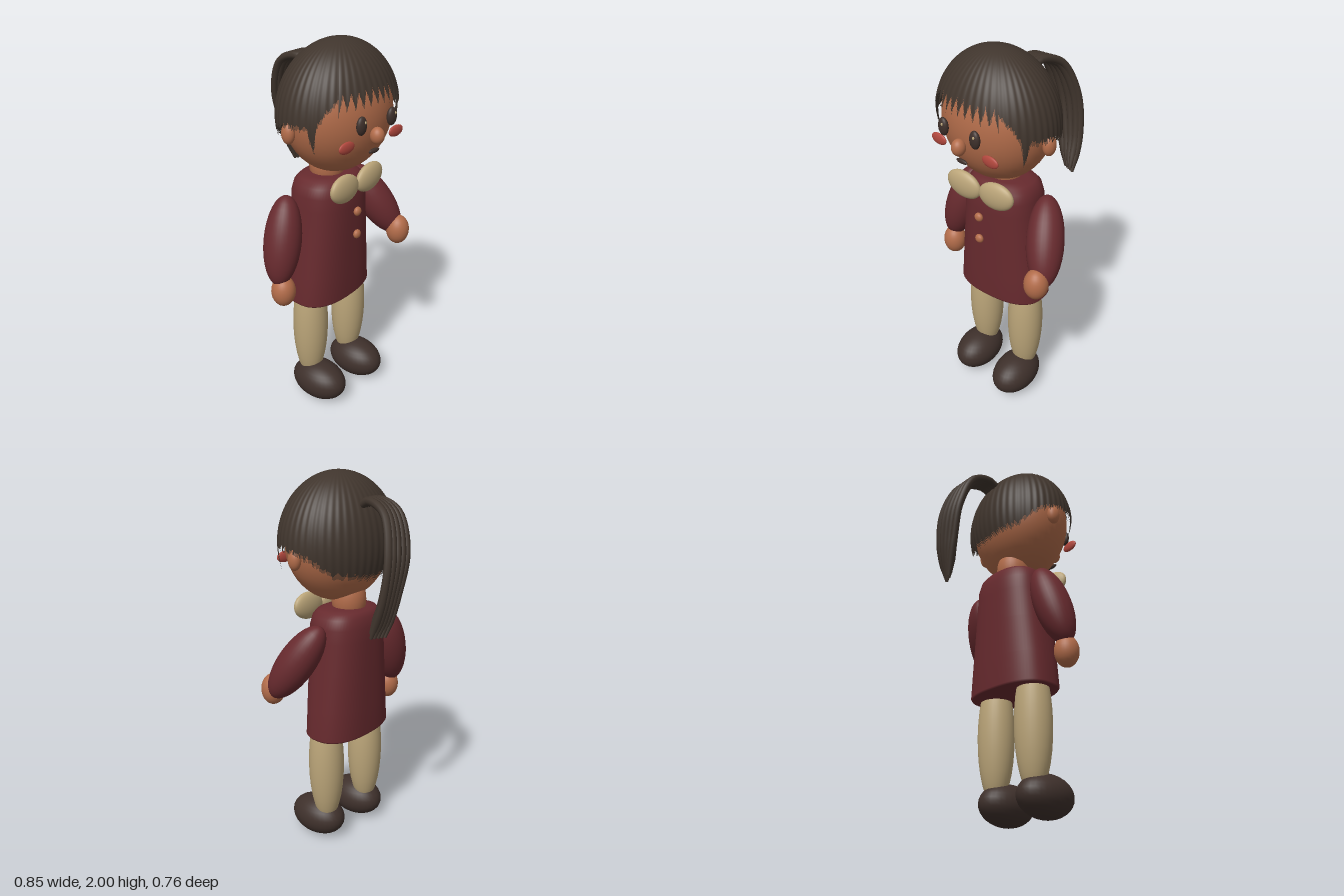
import * as THREE from 'three';

const material = (name, color, side = THREE.FrontSide) => {
  const m = new THREE.MeshStandardMaterial({ color, side });
  m.name = name;
  return m;
};

export function createModel() {
  const model = new THREE.Group();
  model.name = 'doll';
  const skin = material('skin', 0xb26c4a);
  const hair = material('hair', 0x40352d, THREE.DoubleSide);
  const dark = material('shoe brown', 0x3e302b);
  const dress = material('dress red', 0x672a2e, THREE.DoubleSide);
  const cream = material('cream', 0xbba579);
  const blush = material('blush', 0xb2483e);

  const add = (parent, name, geometry, mat) => {
    const mesh = new THREE.Mesh(geometry, mat);
    mesh.name = name;
    parent.add(mesh);
    return mesh;
  };
  // Ellipsoid from centre and half sizes
  const ball = (parent, name, pos, size, mat, segments = 32) => {
    const mesh = add(parent, name, new THREE.SphereGeometry(1, segments, segments / 2), mat);
    mesh.position.set(...pos);
    mesh.scale.set(...size);
    return mesh;
  };

  // Dress: loft of rounded sections [y, half width, half depth]
  const sections = [
    [0.635, 0, 0], [0.635, 0.25, 0.152], [0.645, 0.257, 0.158], [0.8, 0.243, 0.158], [1.0, 0.222, 0.16],
    [1.17, 0.206, 0.16], [1.24, 0.202, 0.157], [1.29, 0.188, 0.145], [1.315, 0.16, 0.125], [1.325, 0.12, 0.09], [1.327, 0, 0],
  ];
  const sides = 64;
  const positions = [], indices = [];
  sections.forEach(([y, w, d], j) => {
    for (let i = 0; i < sides; i++) {
      const a = (i / sides) * Math.PI * 2;
      const round = (v) => Math.sign(v) * Math.abs(v) ** 0.8;
      positions.push(0.004 + w * round(Math.sin(a)), y, 0.03 + d * round(Math.cos(a)));
      if (j === 0) continue;
      const k = (i + 1) % sides, lo = (j - 1) * sides, hi = j * sides;
      indices.push(lo + i, lo + k, hi + k, lo + i, hi + k, hi + i);
    }
  });
  const dressGeometry = new THREE.BufferGeometry();
  dressGeometry.setAttribute('position', new THREE.Float32BufferAttribute(positions, 3));
  dressGeometry.setIndex(indices);
  dressGeometry.computeVertexNormals();
  add(model, 'dress', dressGeometry, dress);
  for (const y of [1.155, 1.027]) ball(model, 'button', [-0.01, y, 0.228], [0.024, 0.024, 0.017], skin, 16);

  // Sleeves and hands
  const arm = (side, pos, direction, hand) => {
    const sleeve = ball(model, side + 'Sleeve', pos, [0.095, 0.232, 0.097], dress);
    sleeve.quaternion.setFromUnitVectors(new THREE.Vector3(0, -1, 0), new THREE.Vector3(...direction).normalize());
    ball(model, side + 'Hand', hand, [0.063, 0.083, 0.063], skin);
  };
  arm('left', [0.31, 1.075, 0.105], [0.13, -0.36, 0.21], [0.353, 0.912, 0.237]);
  arm('right', [-0.31, 1.03, -0.01], [-0.13, -0.43, 0.05], [-0.357, 0.775, 0.03]);

  // Legs and shoes
  for (const [side, x, legZ, shoeX, shoeZ] of [['left', 0.157, 0.05, 0.15, 0.12], ['right', -0.137, 0.02, -0.144, 0.088]]) {
    ball(model, side + 'Leg', [x, 0.46, legZ], [0.097, 0.36, 0.095], cream);
    ball(model, side + 'Shoe', [shoeX, 0.11, shoeZ], [0.114, 0.108, 0.166], dark);
  }

  // Neck and collar
  ball(model, 'neck', [0, 1.36, 0.02], [0.09, 0.13, 0.09], skin);
  for (const s of [-1, 1]) {
    const lobe = ball(model, 'collar', [-0.006 + s * 0.1, 1.308, 0.218], [0.104, 0.073, 0.034], cream);
    lobe.rotation.z = s * 0.12;
  }

  // Head, turned slightly towards its right
  const head = new THREE.Group();
  head.name = 'head';
  head.position.set(0.005, 1.65, 0.085);
  head.rotation.y = -0.11;
  model.add(head);
  ball(head, 'face', [0, 0.01, 0], [0.292, 0.31, 0.243], skin, 48);
  ball(head, 'nose', [0, -0.065, 0.257], [0.034, 0.042, 0.036], skin);
  ball(head, 'mouth', [0, -0.143, 0.24], [0.036, 0.012, 0.01], dark, 16);
  for (const s of [-1, 1]) {
    ball(head, 'ear', [s * 0.305, -0.05, -0.02], [0.03, 0.052, 0.036], skin);
    ball(head, 'eye', [s * 0.103, 0.005, 0.252], [0.03, 0.045, 0.019], dark);
    ball(head, 'eyeGlint', [s * 0.103 + 0.008, 0.022, 0.268], [0.006, 0.008, 0.005], cream, 12);
    ball(head, 'cheek', [s * 0.17, -0.09, 0.225], [0.05, 0.029, 0.012], blush);
  }

  // Hair cap: sphere whose lower rim follows the hairline, with a jagged fringe
  const hairline = [[0, 0.15], [0.6, 0.14], [0.85, 0.07], [1.05, -0.01], [1.6, -0.015], [2.0, -0.05], [2.4, -0.13], [3.15, -0.16]];
  const rim = (azimuth) => {
    const a = Math.abs(azimuth);
    const n = Math.max(1, hairline.findIndex(([limit]) => limit >= a));
    const [a0, y0] = hairline[n - 1], [a1, y1] = hairline[n];
    const y = y0 + ((y1 - y0) * (a - a0)) / (a1 - a0);
    const tooth = (period) => Math.abs(((azimuth / period + 50) % 1) * 2 - 1);
    const lock = Math.max(0, 1 - Math.abs(a - 1.08) / 0.08) * 0.12;
    return y - lock - (a < 0.68 ? 0.075 * tooth(0.135) : 0.012 * tooth(0.16));
  };
  const cap = new THREE.SphereGeometry(1, 360, 18);
  const p = cap.attributes.position, uv = cap.attributes.uv;
  for (let i = 0; i < p.count; i++) {
    const az = (uv.getX(i) * 2 - 1) * Math.PI;
    const row = Math.floor(i / 361) / 18;
    const theta = row * Math.acos(rim(az) / 0.35);
    const r = Math.sin(theta) * (1 + 0.005 * Math.sin(az * 48));
    p.setXYZ(i, 0.33 * r * Math.sin(az), 0.35 * Math.cos(theta), 0.265 * r * Math.cos(az));
  }
  cap.computeVertexNormals();
  add(head, 'hairCap', cap, hair);

  // Ponytail: fan of tapered strands [x, y, z, half spread]
  const tail = [
    [0.028, 1.84, -0.09, 0.03], [0.035, 1.875, -0.16, 0.04], [0.06, 1.83, -0.28, 0.055],
    [0.1, 1.66, -0.348, 0.07], [0.14, 1.45, -0.34, 0.058], [0.172, 1.27, -0.297, 0.03],
  ];
  const ponytail = new THREE.Group();
  ponytail.name = 'ponytail';
  model.add(ponytail);
  const strands = 9, steps = 32, radial = 8;
  for (let s = 0; s < strands; s++) {
    const t = (s / (strands - 1)) * 2 - 1;
    const shift = (s % 2 ? 1 : -1) * 0.006;
    const curve = new THREE.CatmullRomCurve3(tail.map(([x, y, z, w], i) =>
      new THREE.Vector3(x + t * w, y + (i === 5 ? shift * 2 : 0), z + shift + (i === 5 ? t * 0.018 : 0))));
    const g = new THREE.TubeGeometry(curve, steps, 0.02, radial);
    const q = g.attributes.position, v = new THREE.Vector3();
    for (let i = 0; i < q.count; i++) {
      const u = Math.floor(i / (radial + 1)) / steps;
      const centre = curve.getPointAt(u);
      v.fromBufferAttribute(q, i).sub(centre).multiplyScalar(u > 0.9 ? 1 - (u - 0.9) * 6 : 1).add(centre);
      q.setXYZ(i, v.x, v.y, v.z);
    }
    add(ponytail, 'strand', g, hair);
  }
  return model;
}
